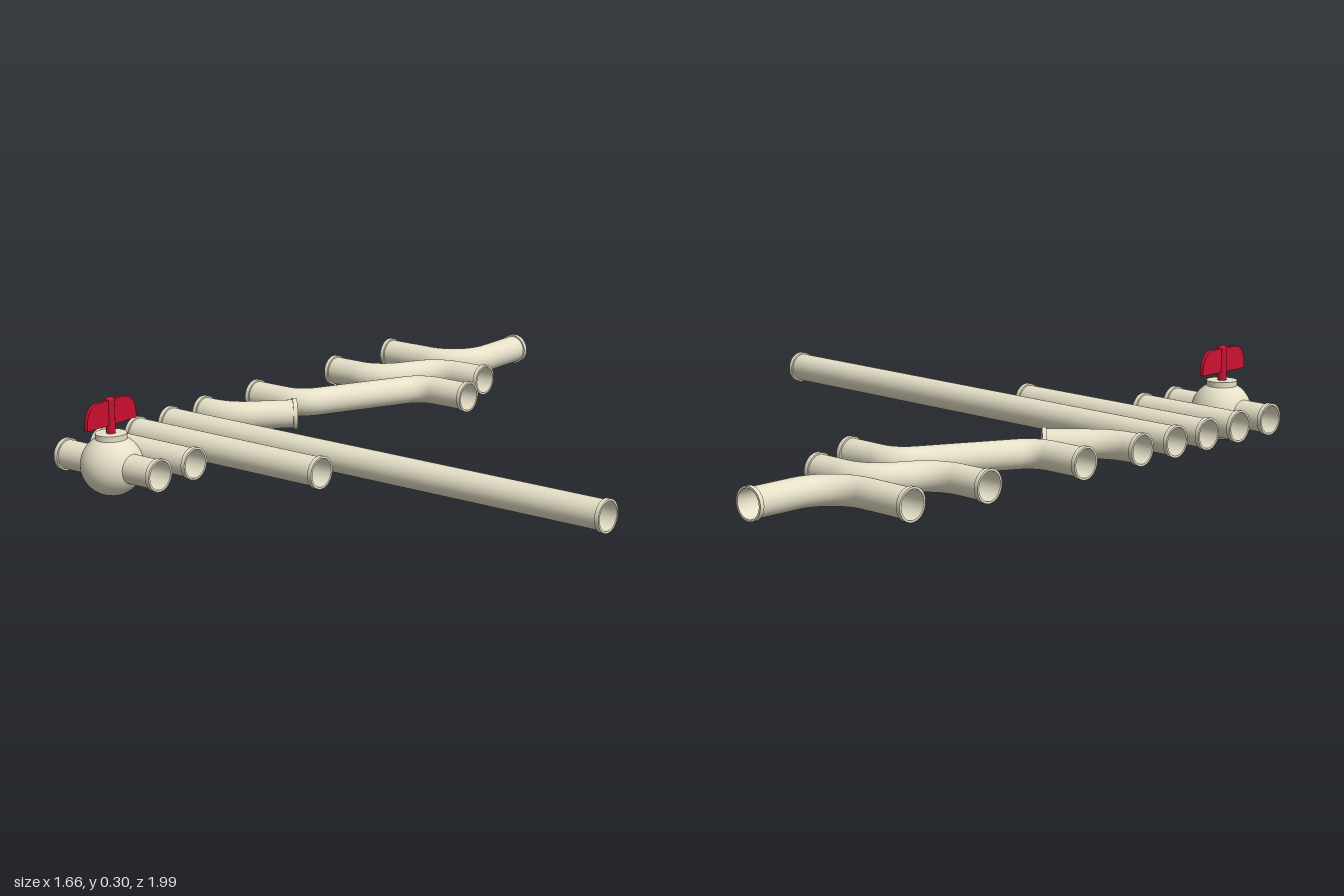
import * as THREE from 'three';

const Y = 0.1, R = 0.045, BORE = 0.0435, X0 = -0.833;
const cream = new THREE.MeshStandardMaterial({ color: 0xe6e0c8, side: THREE.DoubleSide });
const red = new THREE.MeshStandardMaterial({ color: 0xcc1030 });

function add(parent, name, geometry, material) {
  const mesh = new THREE.Mesh(geometry, material);
  mesh.name = name;
  parent.add(mesh);
  return mesh;
}

// Path through [x, z] corners, each inner corner rounded by an arc of the given tangent length
function roundedPath(corners, tangent) {
  const p = corners.map(([x, z]) => new THREE.Vector3(x, Y, z));
  const path = new THREE.CurvePath();
  let from = p[0];
  for (let i = 1; i < p.length - 1; i++) {
    const d1 = p[i].clone().sub(p[i - 1]).normalize();
    const d2 = p[i + 1].clone().sub(p[i]).normalize();
    const angle = d1.angleTo(d2);
    const k = (4 / 3) * Math.tan(angle / 4) * tangent / Math.tan(angle / 2);
    const a = p[i].clone().addScaledVector(d1, -tangent);
    const b = p[i].clone().addScaledVector(d2, tangent);
    path.add(new THREE.LineCurve3(from, a));
    path.add(new THREE.CubicBezierCurve3(a, a.clone().addScaledVector(d1, k), b.clone().addScaledVector(d2, -k), b));
    from = b;
  }
  path.add(new THREE.LineCurve3(from, p[p.length - 1]));
  return path;
}

// Square-edged collar ring; separate bands keep its edges sharp
function flange(parent, end, inward) {
  const ring = new THREE.Group();
  ring.name = 'flange';
  const profile = [[BORE, 0], [0.05, 0], [0.05, 0.014], [R, 0.014]];
  for (let i = 0; i < 3; i++) {
    const pts = [profile[i], profile[i + 1]].map(([x, y]) => new THREE.Vector2(x, y));
    add(ring, 'flangeBand', new THREE.LatheGeometry(pts, 40), cream);
  }
  ring.position.copy(end);
  ring.quaternion.setFromUnitVectors(new THREE.Vector3(0, 1, 0), inward);
  parent.add(ring);
}

// Hollow pipe with a flange on each end
function pipe(name, corners, tangent = 0) {
  const group = new THREE.Group();
  group.name = name;
  const path = roundedPath(corners, tangent);
  const steps = corners.length > 2 ? 64 : 1;
  add(group, 'pipeWall', new THREE.TubeGeometry(path, steps, R, 40), cream);
  add(group, 'pipeBore', new THREE.TubeGeometry(path, steps, BORE, 40), cream);
  flange(group, path.getPoint(0), path.getTangent(0));
  flange(group, path.getPoint(1), path.getTangent(1).negate());
  return group;
}

function valve() {
  const x = -0.639, z = 0.89;
  const group = pipe('valve', [[X0, z], [-0.444, z]]);

  // Round body, open along x where the pipe passes through
  const pts = [];
  const start = Math.asin(R / 0.094);
  for (let i = 0; i <= 32; i++) {
    const a = start + (Math.PI - 2 * start) * i / 32;
    pts.push(new THREE.Vector2(0.094 * Math.sin(a), -0.096 * Math.cos(a)));
  }
  const body = add(group, 'valveBody', new THREE.LatheGeometry(pts, 48), cream);
  body.rotation.z = -Math.PI / 2;
  body.position.set(x, Y, z);

  // Bonnet and stem
  add(group, 'bonnet', new THREE.CylinderGeometry(0.048, 0.048, 0.04, 40), cream).position.set(x, 0.178, z);
  add(group, 'stem', new THREE.CylinderGeometry(0.014, 0.014, 0.105, 24), red).position.set(x, 0.2475, z);
  const cap = add(group, 'stemCap', new THREE.SphereGeometry(0.014, 24, 8, 0, Math.PI * 2, 0, Math.PI / 2), red);
  cap.scale.y = 0.65;
  cap.position.set(x, 0.3, z);

  // Thin wing handle
  const s = new THREE.Shape();
  s.moveTo(-0.104, 0.224);
  s.lineTo(0.104, 0.224);
  s.bezierCurveTo(0.104, 0.27, 0.09, 0.3, 0.05, 0.3);
  s.lineTo(-0.05, 0.3);
  s.bezierCurveTo(-0.09, 0.3, -0.104, 0.27, -0.104, 0.224);
  const plate = new THREE.ExtrudeGeometry(s, { depth: 0.012, bevelEnabled: false, curveSegments: 16 });
  plate.translate(0, 0, -0.006).rotateY(Math.PI / 2);
  add(group, 'handle', plate, red).position.set(x, 0, z);
  return group;
}

export function createModel() {
  const model = new THREE.Group();
  model.name = 'pipeFittings';
  model.add(
    valve(),
    pipe('shortPipe', [[X0, 0.737], [-0.444, 0.737]]),
    pipe('mediumPipe', [[X0, 0.585], [-0.082, 0.585]]),
    pipe('longPipe', [[X0, 0.434], [0.83, 0.434]]),
    pipe('shallowElbow', [[X0, 0.275], [-0.722, 0.275], [-0.569, 0.122]], 0.07),
    pipe('longOffset', [[X0, 0.021], [-0.64, 0.021], [-0.445, -0.37], [-0.251, -0.37]], 0.06),
    pipe('shortOffset', [[X0, -0.384], [-0.64, -0.384], [-0.533, -0.582], [-0.341, -0.582]], 0.08),
    pipe('rightAngleElbow', [[X0, -0.688], [-0.516, -0.688], [-0.516, -1]], 0.14),
  );
  return model;
}
